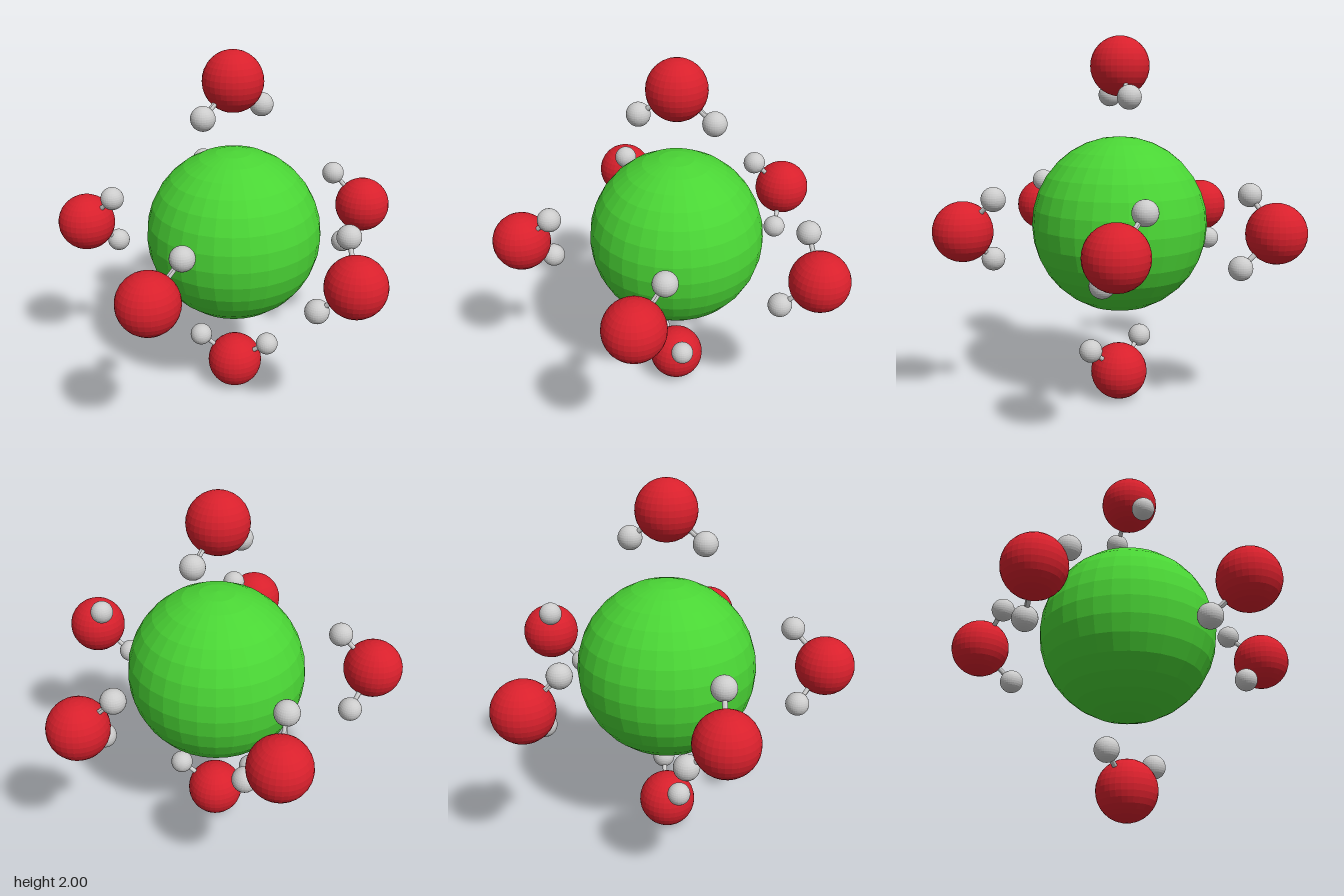
import * as THREE from 'three';

const ION_X = -0.085, SHELL = 0.845; // ion centre and distance to each oxygen
const O_R = 0.157, H_R = 0.063, BOND_R = 0.013;

const material = (color) => new THREE.MeshStandardMaterial({ color, flatShading: true });
const ionMat = material(0x4ad535);
const oxygenMat = material(0xd8202c);
const greyMat = material(0xcccccc);

function sphere(name, radius, mat, position) {
  const mesh = new THREE.Mesh(new THREE.SphereGeometry(radius, 32, 16), mat);
  mesh.name = name;
  mesh.position.copy(position);
  return mesh;
}

// Thin rod joining two atom centres
function bond(from, to) {
  const dir = to.clone().sub(from);
  const mesh = new THREE.Mesh(new THREE.CylinderGeometry(BOND_R, BOND_R, dir.length(), 12), greyMat);
  mesh.name = 'bond';
  mesh.position.copy(from).add(to).multiplyScalar(0.5);
  mesh.quaternion.setFromUnitVectors(new THREE.Vector3(0, 1, 0), dir.normalize());
  return mesh;
}

// One oxygen with two hydrogens turned toward the ion
function water(name, oxygen, hydrogens) {
  const group = new THREE.Group();
  group.name = name;
  group.add(sphere('oxygen', O_R, oxygenMat, oxygen));
  for (const h of hydrogens) {
    const p = new THREE.Vector3(...h);
    group.add(sphere('hydrogen', H_R, greyMat, p), bond(oxygen, p));
  }
  return group;
}

export function createModel() {
  const model = new THREE.Group();
  model.name = 'hydratedIon';
  model.add(sphere('ion', 0.475, ionMat, new THREE.Vector3(ION_X, 1.002, 0)));

  // Molecules above and below
  model.add(water('topWater', new THREE.Vector3(ION_X, 1.845, 0),
    [[-0.09, 1.693, 0.203], [-0.075, 1.687, -0.197]]));
  model.add(water('bottomWater', new THREE.Vector3(ION_X, 0.158, 0),
    [[-0.246, 0.315, 0.12], [0.1, 0.318, -0.08]]));

  // Ring of five around the equator: upper and lower hydrogen of each
  const ring = [
    [[0.615, 1.18, -0.113], [0.595, 0.83, 0.085]],
    [[0.21, 1.18, 0.617], [0.025, 0.83, 0.692]],
    [[-0.59, 1.18, 0.436], [-0.745, 0.83, 0.307]],
    [[-0.698, 1.18, -0.33], [-0.58, 0.83, -0.488]],
    [[0.014, 1.18, -0.718], [0.188, 0.83, -0.617]],
  ];
  ring.forEach((hydrogens, i) => {
    const a = (i * 2 * Math.PI) / 5;
    const oxygen = new THREE.Vector3(ION_X + SHELL * Math.cos(a), 1.002, SHELL * Math.sin(a));
    model.add(water('ringWater' + (i + 1), oxygen, hydrogens));
  });
  return model;
}
